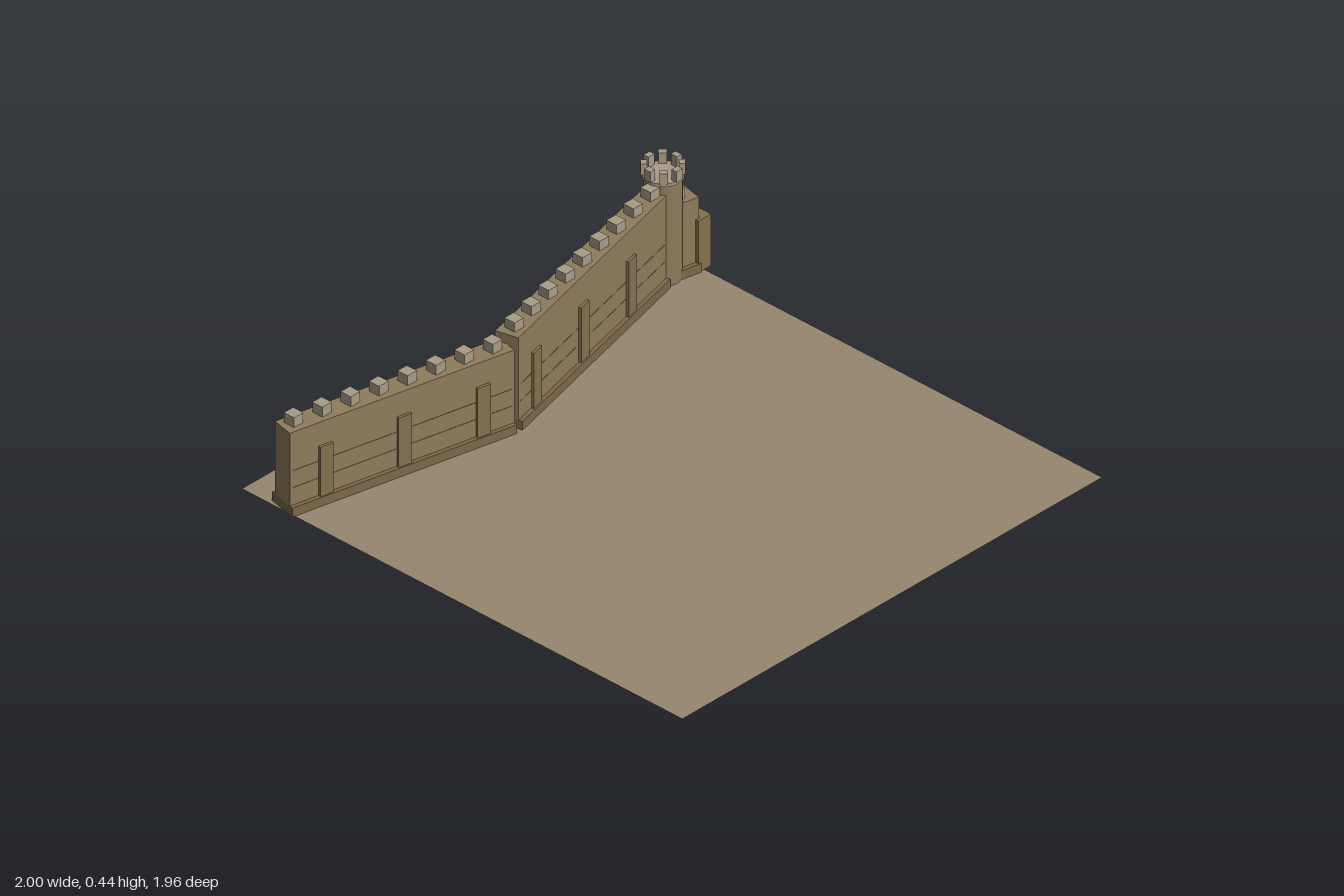
import * as THREE from 'three';

const mat = (color) => new THREE.MeshStandardMaterial({ color, flatShading: true });
const stone = mat(0x8f7c5c), footing = mat(0x7d684a), pier = mat(0x84714f);
const course = mat(0x75644a), cap = mat(0xa89c88);

// Box standing on height y
function block(parent, name, material, w, h, d, x, y, z) {
  const m = new THREE.Mesh(new THREE.BoxGeometry(w, h, d), material);
  m.name = name;
  m.position.set(x, y + h / 2, z);
  parent.add(m);
  return m;
}

// Straight wall between two ground points, local x running along it
function wall(name, [x0, z0], [x1, z1], height, piers, pierHeight) {
  const g = new THREE.Group();
  g.name = name;
  const len = Math.hypot(x1 - x0, z1 - z0);
  g.position.set(x0, 0, z0);
  g.rotation.y = -Math.atan2(z1 - z0, x1 - x0);
  block(g, 'wallBody', stone, len, height - 0.001, 0.086, len / 2, 0.001, 0);
  block(g, 'plinth', footing, len, 0.034, 0.117, len / 2, 0.001, 0);
  for (const t of piers)
    for (const s of [1, -1])
      block(g, 'buttress', pier, 0.052, pierHeight - 0.03, 0.012, t, 0.03, s * 0.047);
  // thin stone courses on the front face
  if (piers.length)
    for (const y of [0.1, 0.165])
      block(g, 'stoneCourse', course, len - 0.02, 0.003, 0.002, len / 2, y, 0.043);
  return g;
}

export function createModel() {
  const model = new THREE.Group();
  model.name = 'fortressWall';

  const ground = new THREE.Mesh(
    new THREE.PlaneGeometry(1.96, 1.96).rotateX(-Math.PI / 2),
    new THREE.MeshStandardMaterial({ color: 0x978770, side: THREE.DoubleSide }));
  ground.name = 'ground';
  ground.position.x = -0.01;
  model.add(ground);

  // Two long walls meeting at a bend, and a ruined stub past the tower
  model.add(wall('rightWall', [-0.987, -0.803], [-0.133, -0.618], 0.315, [0.138, 0.443, 0.75], 0.225));
  model.add(wall('leftWall', [-0.133, -0.618], [0.8, -0.85], 0.352, [0.11, 0.418, 0.727], 0.247));
  model.add(wall('ruinedWall', [0.85, -0.865], [0.963, -0.842], 0.282, [], 0));
  block(model, 'ruinedStep', pier, 0.058, 0.199, 0.112, 0.971, 0.001, -0.845);

  // Merlons along the wall tops
  const merlons = (n, x0, z0, x1, z1, y) => {
    for (let i = 0; i < n; i++) {
      const t = n > 1 ? i / (n - 1) : 0;
      block(model, 'merlon', cap, 0.043, 0.038, 0.045, x0 + (x1 - x0) * t, y, z0 + (z1 - z0) * t);
    }
  };
  merlons(8, -0.941, -0.797, -0.187, -0.63, 0.315);
  merlons(9, -0.086, -0.63, 0.77, -0.841, 0.35);
  merlons(1, 0.9, -0.852, 0.9, -0.852, 0.282);

  // Round tower with a crenellated crown
  const tower = new THREE.Group();
  tower.name = 'tower';
  tower.position.set(0.85, 0, -0.86);
  const drum = (name, material, r, y0, y1) => {
    const m = new THREE.Mesh(new THREE.CylinderGeometry(r, r, y1 - y0, 24), material);
    m.name = name;
    m.position.y = (y0 + y1) / 2;
    tower.add(m);
  };
  const shaft = new THREE.MeshStandardMaterial({ color: 0x8f7c5c });
  drum('towerShaft', shaft, 0.064, 0.001, 0.388);
  drum('towerCap', new THREE.MeshStandardMaterial({ color: 0xa89c88 }), 0.07, 0.388, 0.4);
  for (let i = 0; i < 8; i++) {
    const a = i * Math.PI / 4;
    const m = block(tower, 'towerMerlon', cap, 0.022, 0.042, 0.028, Math.cos(a) * 0.062, 0.399, Math.sin(a) * 0.062);
    m.rotation.y = -a;
  }
  model.add(tower);
  return model;
}
